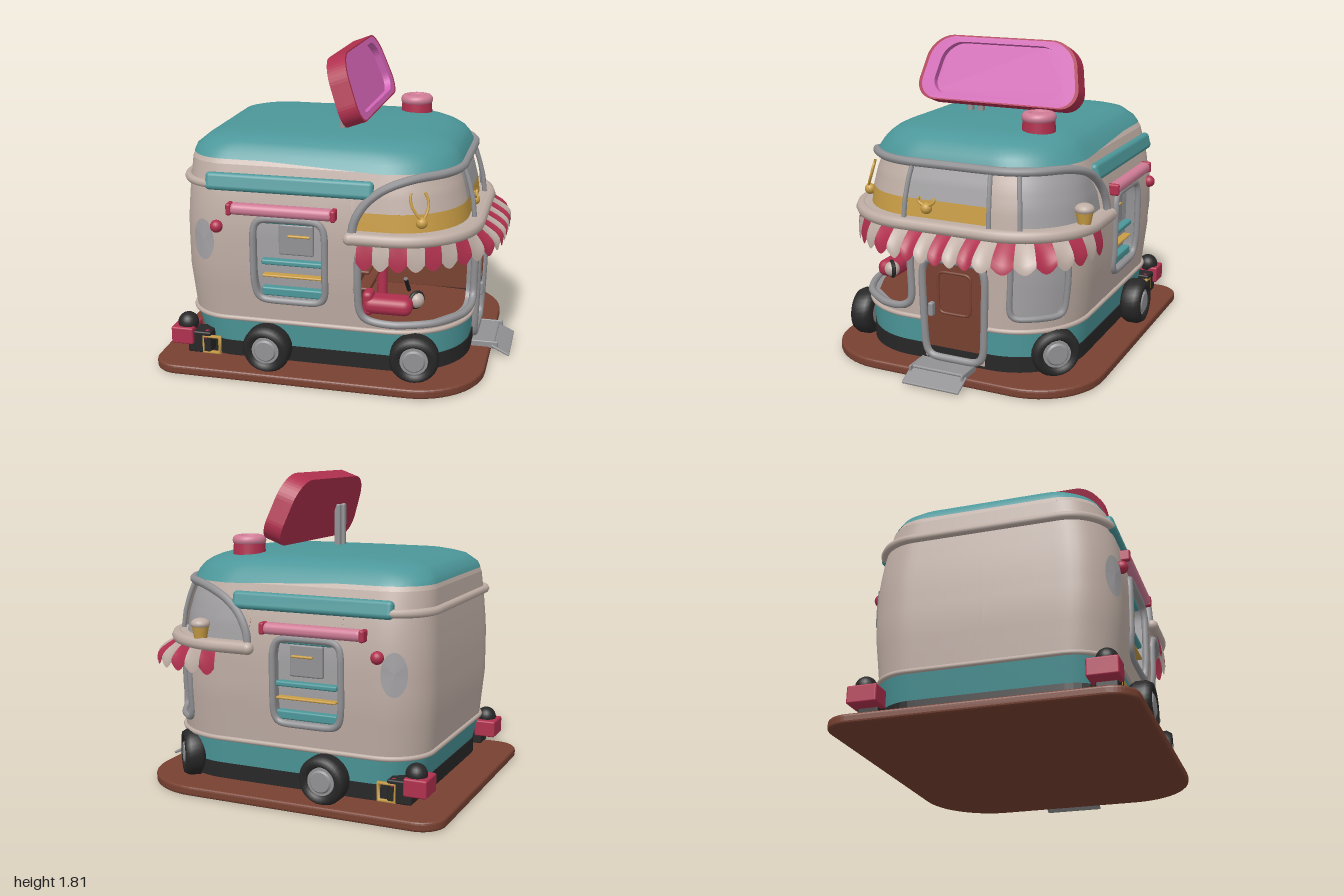
import * as THREE from 'three';
import { RoundedBoxGeometry } from 'three/addons/geometries/RoundedBoxGeometry.js';

const colors = {
  cream: 0xbfaea5, teal: 0x4c979a, red: 0xb0304e, pink: 0xcf7c96, magenta: 0xd565b8,
  brown: 0x784131, black: 0x272727, gray: 0x929295, glass: 0xa3a1a3, gold: 0xc99d45,
};
const mats = {};
for (const [name, color] of Object.entries(colors)) {
  mats[name] = new THREE.MeshStandardMaterial({ color, side: THREE.DoubleSide });
  mats[name].name = name;
}

// Body extents by height: y, rear x, front x, half width
const profile = [
  [0.08, -0.77, 0.76, 0.64], [0.33, -0.83, 0.77, 0.665], [0.6, -0.853, 0.775, 0.692], [0.85, -0.853, 0.778, 0.695],
  [1.0, -0.845, 0.76, 0.68], [1.1, -0.838, 0.735, 0.66], [1.22, -0.83, 0.69, 0.625], [1.28, -0.81, 0.665, 0.583],
  [1.33, -0.75, 0.59, 0.525], [1.355, -0.66, 0.5, 0.45], [1.366, -0.5, 0.34, 0.32], [1.372, -0.06, -0.06, 0],
];
const RF = 0.42, RR = 0.25, SIDE = 0.92, REAR = SIDE + 1.17 - RR, HALF = REAR + RR * Math.PI / 2 + 0.68 - RR;

// Plan outline by distance s from the middle of the front end (+s runs to +z)
function plan(s) {
  if (s > HALF) s -= 2 * HALF;
  const k = s < 0 ? -1 : 1, a = Math.abs(s);
  if (a < 0.26) return [0.77, s, 1, 0];
  if (a < SIDE) {
    const t = (a - 0.26) / (SIDE - 0.26) * Math.PI / 2;
    return [0.35 + RF * Math.cos(t), k * (0.26 + RF * Math.sin(t)), Math.cos(t), k * Math.sin(t)];
  }
  if (a < REAR) return [0.35 - (a - SIDE), k * 0.68, 0, k];
  const t = (a - REAR) / RR;
  if (t < Math.PI / 2) {
    return [RR - 0.82 - RR * Math.sin(t), k * (0.68 - RR + RR * Math.cos(t)), -Math.sin(t), k * Math.cos(t)];
  }
  return [-0.82, k * (HALF - a), -1, 0];
}
function surf(s, y, off = 0) {
  let i = 0;
  while (i < profile.length - 2 && y > profile[i + 1][0]) i++;
  const p = profile[i], q = profile[i + 1], t = (y - p[0]) / (q[0] - p[0]);
  const [xl, xr, zh] = [1, 2, 3].map((k) => p[k] + (q[k] - p[k]) * t);
  const [x, z, nx, nz] = plan(s);
  return new THREE.Vector3(xl + (x + 0.82) / 1.59 * (xr - xl) + nx * off, y, z * zh / 0.68 + nz * off);
}
function grid(nu, nv, fn) {
  const pos = [], idx = [], w = nv + 1;
  for (let i = 0; i <= nu; i++) for (let j = 0; j <= nv; j++) pos.push(...fn(i / nu, j / nv).toArray());
  for (let i = 0; i < nu; i++) for (let j = 0; j < nv; j++) {
    const a = i * w + j, c = a + w;
    idx.push(a, a + 1, c, c, a + 1, c + 1);
  }
  const g = new THREE.BufferGeometry();
  g.setAttribute('position', new THREE.Float32BufferAttribute(pos, 3));
  g.setIndex(idx);
  g.computeVertexNormals();
  return g;
}
const val = (f, s) => (typeof f === 'function' ? f(s) : f);
function patch(s0, s1, y0, y1, off = 0, ease = 1) {
  return grid(Math.max(2, Math.ceil((s1 - s0) / 0.04)), 10, (u, v) => {
    const s = s0 + (s1 - s0) * u, a = val(y0, s), b = val(y1, s);
    return surf(s, a + (b - a) * (1 - (1 - v) ** ease), off);
  });
}
// Soft-cornered loop around an opening; square = 1 pushes it out to the sharp rectangle
function loop(s0, s1, y0, y1, t, square = 0) {
  const f = (v) => Math.sign(v) * Math.abs(v) ** 0.3;
  const a = f(Math.cos(t * Math.PI * 2)), b = f(Math.sin(t * Math.PI * 2));
  const k = 1 + square * (1 / Math.max(Math.abs(a), Math.abs(b)) - 1);
  return [(s0 + s1) / 2 + (s1 - s0) / 2 * a * k, (y0 + y1) / 2 + (y1 - y0) / 2 * b * k];
}
function tube(n, fn, r, closed = false) {
  const pts = [];
  for (let i = 0; i < n + (closed ? 0 : 1); i++) pts.push(fn(i / n));
  return new THREE.TubeGeometry(new THREE.CatmullRomCurve3(pts, closed), n * 2, r, 8, closed);
}
// Polygon with rounded corners: points are [x, y, radius]
function rounded(pts, k = 1, Type = THREE.Shape) {
  const sh = new Type(), n = pts.length;
  const P = pts.map(([x, y]) => new THREE.Vector2(x * k, y * k));
  P.forEach((p, i) => {
    const r = pts[i][2] * k;
    const toward = (q) => q.clone().sub(p).setLength(r).add(p);
    const a = toward(P[(i + n - 1) % n]), b = toward(P[(i + 1) % n]);
    i ? sh.lineTo(a.x, a.y) : sh.moveTo(a.x, a.y);
    const c1 = a.clone().lerp(p, 0.55), c2 = b.clone().lerp(p, 0.55);
    sh.bezierCurveTo(c1.x, c1.y, c2.x, c2.y, b.x, b.y);
  });
  sh.closePath();
  return sh;
}
const arch = (s) => 0.88 + 0.32 * Math.sqrt(Math.max(0, 1 - (Math.max(0, Math.abs(s) - 0.62) / 0.48) ** 2));

export function createModel() {
  const root = new THREE.Group();
  const add = (name, geo, mat, x = 0, y = 0, z = 0, parent = root) => {
    const m = new THREE.Mesh(geo, mats[mat]);
    m.name = name;
    m.position.set(x, y, z);
    parent.add(m);
    return m;
  };
  const box = (w, h, d, r = 0.01) => new RoundedBoxGeometry(w, h, d, 3, Math.min(r, w / 2.1, h / 2.1, d / 2.1));
  const cyl = (r, h, r2 = r) => new THREE.CylinderGeometry(r, r2, h, 28);
  const flat = (shape, depth) => new THREE.ExtrudeGeometry(shape, { depth, bevelEnabled: false, curveSegments: 12 });

  // Ground board and chassis
  const board = rounded([[-0.985, -0.805, 0.13], [0.865, -0.805, 0.38], [0.865, 0.805, 0.38], [-0.985, 0.805, 0.13]]);
  add('groundBoard', new THREE.ExtrudeGeometry(board, { depth: 0.025, bevelSize: 0.015, bevelThickness: 0.015, bevelSegments: 3 })
    .rotateX(-Math.PI / 2), 'brown', 0, 0.022, 0);
  const outline = [];
  for (let i = 0; i < 120; i++) { const p = surf(-HALF + i / 60 * HALF, 0.17, 0.006); outline.push(new THREE.Vector2(p.x, -p.z)); }
  add('chassis', flat(new THREE.Shape(outline), 0.09).rotateX(-Math.PI / 2), 'black', 0, 0.085, 0);

  // Walls, column by column: s range, wall top, optional opening heights
  add('skirt', patch(0.15, 2 * HALF - 0.24, 0.165, 0.33), 'teal');
  const columns = [[-1.1, -0.69, 0.88], [-0.69, -0.37, 0.88, 0.4, 0.77], [-0.37, -0.24, 0.88], [-0.24, 0.15, 0.88, 0.33, 0.7],
    [0.15, 0.22, 0.88], [0.22, 1.07, 0.88, 0.37, 0.84], [1.07, 1.1, 0.88]];
  for (const c of [[1.1, 1.25, 1.22], [1.25, 1.65, 1.22, 0.46, 0.94], [1.65, HALF, 1.22]]) {
    columns.push(c, [-c[1], -c[0], ...c.slice(2)]);
  }
  for (const [s0, s1, top, h0, h1] of columns) {
    if (h0 === undefined) add('wall', patch(s0, s1, 0.33, top), 'cream');
    else {
      if (h0 > 0.33) add('wallBelowOpening', patch(s0, s1, 0.33, h0), 'cream');
      add('wallAboveOpening', patch(s0, s1, h1, top), 'cream');
    }
  }
  add('archWall', patch(-1.1, 1.1, arch, 1.22), 'cream');
  add('upperWall', patch(-HALF, HALF, 1.22, 1.26), 'cream');
  const eaves = (s) => 1.215 + 0.03 * Math.min(1, Math.max(0, (Math.abs(s) - 0.9) / 0.7));
  add('roof', patch(-HALF, HALF, eaves, 1.372, 0.004, 3), 'teal');
  add('skirtTrim', tube(120, (t) => surf(0.16 + t * (2 * HALF - 0.41), 0.325, 0.004), 0.014), 'cream');
  add('rearTrim', tube(60, (t) => surf(1.9 + t * 2 * (HALF - 1.9), 1.11, 0.012), 0.024), 'cream');

  // Framed openings
  const frame = (name, s0, s1, y0, y1, r, depth, mat) => {
    add(name + 'Frame', tube(72, (t) => surf(...loop(s0, s1, y0, y1, t), 0.004), r, true), 'gray');
    add(name + 'Corners', grid(144, 1, (u, v) => surf(...loop(s0, s1, y0, y1, u, v))), 'cream');
    add(name + 'Jamb', grid(72, 1, (u, v) => surf(...loop(s0, s1, y0, y1, u), -depth * v)), 'gray');
    if (mat) add(name + 'Panel', patch(s0, s1, y0, y1, -depth), mat);
  };
  frame('cornerWindow', -0.69, -0.37, 0.4, 0.77, 0.018, 0.03, 'glass');
  frame('counterOpening', 0.22, 1.07, 0.37, 0.84, 0.022, 0.04);
  frame('sideWindowLeft', 1.25, 1.65, 0.46, 0.94, 0.02, 0.07, 'glass');
  frame('sideWindowRight', -1.65, -1.25, 0.46, 0.94, 0.02, 0.07, 'glass');

  // Door with raised panel, handle and folding step
  add('door', patch(-0.24, 0.15, 0.1, 0.7, 0.006), 'brown');
  add('doorCorners', grid(144, 1, (u, v) => surf(...loop(-0.24, 0.15, 0.1, 0.7, u, v), 0.009)), 'cream');
  add('doorFrame', tube(72, (t) => surf(...loop(-0.235, 0.145, 0.11, 0.69, t), 0.014), 0.022, true), 'gray');
  add('doorPanelRim', tube(48, (t) => surf(...loop(-0.15, 0.05, 0.38, 0.62, t), 0.01), 0.008, true), 'brown');
  add('doorHandle', box(0.04, 0.08, 0.03), 'gray', 0.8, 0.4, 0.085);
  add('stepUpper', box(0.15, 0.018, 0.33), 'gray', 0.83, 0.085, 0);
  add('stepLower', box(0.12, 0.016, 0.35), 'gray', 0.94, 0.047, 0).rotation.z = -0.45;
  for (const z of [-0.16, 0.16]) add('stepRail', box(0.17, 0.045, 0.014), 'gray', 0.84, 0.075, z);

  // Arched upper windows
  const mid = (s) => Math.min(1.0, arch(s));
  add('yellowPane', patch(-0.25, 1.1, 0.88, mid, -0.03), 'gold');
  add('upperSidePane', patch(0.26, 1.1, mid, arch, -0.03), 'cream');
  add('upperFrontPane', patch(-0.25, 0.26, mid, arch, -0.03), 'glass');
  add('windowPillar', patch(-0.42, -0.25, 0.88, arch, 0), 'cream');
  add('upperCornerPane', patch(-1.1, -0.42, 0.88, arch, -0.03), 'glass');
  add('archTrim', tube(70, (t) => { const s = 1.1 * Math.sin((t - 0.5) * Math.PI); return surf(s, arch(s), 0.01); }, 0.024), 'gray');
  for (const s of [0.26, -0.25, -0.42]) add('mullion', tube(8, (t) => surf(s, 0.88 + 0.32 * t, 0), 0.014), 'gray');
  add('ledge', tube(60, (t) => surf(-1.11 + 2.22 * t, 0.87, 0.024), 0.036), 'cream');
  for (const s of [-1.11, 1.11]) {
    const p = surf(s, 0.87, 0.024);
    add('ledgeEnd', new THREE.SphereGeometry(0.036, 16, 12), 'cream', p.x, p.y, p.z);
  }
  add('ledgeTop', grid(60, 1, (u, v) => surf(-1.1 + 2.2 * u, 0.9, -0.04 + 0.065 * v)), 'cream');
  for (const s of [0.72, 0.13]) {
    const p = surf(s, 0.96, -0.01);
    add('goldFigure', new THREE.SphereGeometry(0.032, 16, 12), 'gold', p.x, p.y, p.z);
    for (const d of [-0.05, 0.05]) add('goldHorn', tube(6, (t) =>
      surf(s + d * Math.sin(t * 2.2), 0.97 + (s > 0.5 ? 0.15 : 0.05) * t, 0), 0.008), 'gold');
  }

  // Scalloped striped awning
  const stripes = 23, S0 = -0.92, W = 1.99 / stripes;
  for (let i = 0; i < stripes; i++) {
    add('awningStripe', grid(8, 6, (u, v) => {
      const s = S0 + (i + u) * W, reach = 0.05 + 0.11 * Math.exp(-(((s + 0.16) / 0.55) ** 4));
      return surf(s, 0.85 - v * (0.105 + 0.04 * Math.sin(Math.PI * u)), 0.03 + (reach - 0.03) * Math.sin(v * Math.PI / 2));
    }), i % 2 ? 'cream' : 'red');
  }

  // Counter interior
  for (const y of [0.365, 0.85]) add('counterFloor', grid(30, 1, (u, v) =>
    surf(0.05 + 1.1 * u, y, -0.01).lerp(new THREE.Vector3(0.14, y, 0), v)), 'brown');
  add('innerWall', box(0.02, 0.5, 0.64), 'brown', 0.15, 0.61, 0.32);
  add('innerWall', box(0.58, 0.5, 0.02), 'brown', 0.43, 0.61, 0.02);
  for (const y of [0.52, 0.62, 0.72]) add('shelf', box(0.08, 0.02, 0.36), 'brown', 0.19, y, 0.38);
  add('bench', box(0.28, 0.1, 0.14, 0.045), 'red', 0.34, 0.45, 0.57);
  add('benchBack', box(0.06, 0.14, 0.1, 0.025), 'red', 0.23, 0.46, 0.58);
  add('stool', cyl(0.03, 0.2), 'red', 0.24, 0.47, 0.24);
  add('lever', cyl(0.012, 0.16), 'black', 0.4, 0.47, 0.3).rotation.x = 0.8;
  add('toyBall', new THREE.SphereGeometry(0.045, 18, 14), 'cream', 0.49, 0.47, 0.52);
  add('toyBand', new THREE.TorusGeometry(0.043, 0.012, 8, 20), 'black', 0.49, 0.47, 0.52).rotation.y = 0.8;
  add('goldTag', box(0.02, 0.03, 0.02), 'gold', 0.59, 0.53, 0.04);

  // Matching fittings on both sides
  for (const k of [1, -1]) {
    add('sidePanel', box(0.95, 0.1, 0.06, 0.025), 'teal', -0.205, 1.127, k * 0.65).rotation.x = -k * 0.25;
    add('windowCanopy', box(0.59, 0.065, 0.075, 0.03), 'pink', -0.235, 0.99, k * 0.695);
    for (const x of [-0.53, 0.06]) add('canopyEnd', box(0.03, 0.068, 0.078, 0.012), 'red', x, 0.99, k * 0.695);
    add('shelfUpper', box(0.37, 0.03, 0.05), 'teal', -0.18, 0.68, k * 0.65);
    add('shelfRail', box(0.36, 0.014, 0.05), 'gold', -0.18, 0.6, k * 0.65);
    add('shelfLower', box(0.37, 0.05, 0.05), 'teal', -0.18, 0.505, k * 0.645);
    add('windowHeader', box(0.37, 0.03, 0.05), 'teal', -0.18, 0.92, k * 0.645);
    add('cabinet', box(0.2, 0.18, 0.03), 'gray', -0.17, 0.81, k * 0.63);
    add('cabinetHandle', box(0.13, 0.014, 0.02), 'gold', -0.15, 0.835, k * 0.652);
    add('ovalPort', grid(32, 1, (u, v) =>
      surf(k * (1.94 + 0.07 * v * Math.cos(u * Math.PI * 2)), 0.79 + 0.12 * v * Math.sin(u * Math.PI * 2), 0.006)), 'glass');
    add('sideLamp', new THREE.SphereGeometry(0.036, 18, 14), 'red', -0.61, 0.88, k * 0.7);
    // Rear bumper lamps
    add('bumperBlock', box(0.13, 0.1, 0.17), 'red', -0.835, 0.205, k * 0.64);
    add('bumperKnob', new THREE.SphereGeometry(0.06, 20, 14), 'black', -0.82, 0.265, k * 0.65);
    add('bumperArm', box(0.14, 0.13, 0.12), 'black', -0.74, 0.165, k * 0.64);
    add('bumperLight', new THREE.SphereGeometry(0.032, 14, 10), 'red', -0.7, 0.2, k * 0.67);
    add('bumperLoop', new THREE.TorusGeometry(0.068, 0.013, 8, 4).rotateZ(Math.PI / 4), 'gold', -0.668, 0.155, k * 0.69);
  }

  // Wheels: x, z, steering angle
  for (const [x, z, turn] of [[-0.32, 0.73, 0], [0.51, 0.68, 0.12], [-0.32, -0.73, Math.PI], [0.6, -0.57, 2.25]]) {
    const wheel = new THREE.Group();
    wheel.name = 'wheel';
    wheel.position.set(x, 0.19, z);
    wheel.rotation.y = turn;
    root.add(wheel);
    const tire = [[0.07, -0.06], [0.12, -0.06], [0.137, -0.03], [0.137, 0.03], [0.12, 0.06], [0.085, 0.06], [0.075, 0.03]];
    add('tire', new THREE.LatheGeometry(tire.map((p) => new THREE.Vector2(...p)), 32).rotateX(Math.PI / 2), 'black', 0, 0, 0, wheel);
    add('hub', cyl(0.078, 0.1).rotateX(Math.PI / 2), 'gray', 0, 0, 0, wheel);
    add('hubCap', cyl(0.055, 0.012, 0.065).rotateX(Math.PI / 2), 'gray', 0, 0, 0.055, wheel);
  }

  // Roof sign, leaning back on twin posts
  const sign = new THREE.Group();
  sign.name = 'roofSign';
  sign.position.set(0.065, 1.615, 0);
  sign.rotation.set(0, Math.PI / 2, 0.35, 'ZYX');
  root.add(sign);
  const trap = [[-0.53, -0.195, 0.13], [0.53, -0.195, 0.13], [0.45, 0.195, 0.14], [-0.45, 0.195, 0.14]];
  const ring = (outer, inner) => { const s = rounded(trap, outer); s.holes.push(rounded(trap, inner, THREE.Path)); return s; };
  add('signBack', flat(rounded(trap), 0.05), 'red', 0, 0, -0.06, sign);
  add('signEdge', flat(ring(1, 0.96), 0.06), 'red', 0, 0, -0.01, sign);
  add('signRim', flat(ring(0.96, 0.8), 0.06), 'magenta', 0, 0, -0.01, sign);
  add('signFace', flat(rounded(trap, 0.82), 0.02), 'magenta', 0, 0, -0.01, sign);
  for (const z of [0.165, 0.235]) add('signPost', box(0.04, 0.27, 0.035), 'gray', 0, 1.48, z);

  // Roof vent and cup on the ledge
  add('ventBase', cyl(0.09, 0.07, 0.095), 'red', 0.33, 1.385, -0.35);
  add('ventRing', new THREE.TorusGeometry(0.068, 0.03, 12, 32).rotateX(Math.PI / 2), 'pink', 0.33, 1.43, -0.35);
  add('ventCap', cyl(0.06, 0.04), 'pink', 0.33, 1.43, -0.35);
  add('cup', cyl(0.05, 0.08, 0.036), 'gold', 0.47, 0.935, -0.68);
  add('cupScoop', new THREE.SphereGeometry(0.055, 20, 12).scale(1, 0.6, 1), 'cream', 0.47, 0.98, -0.68);
  return root;
}
